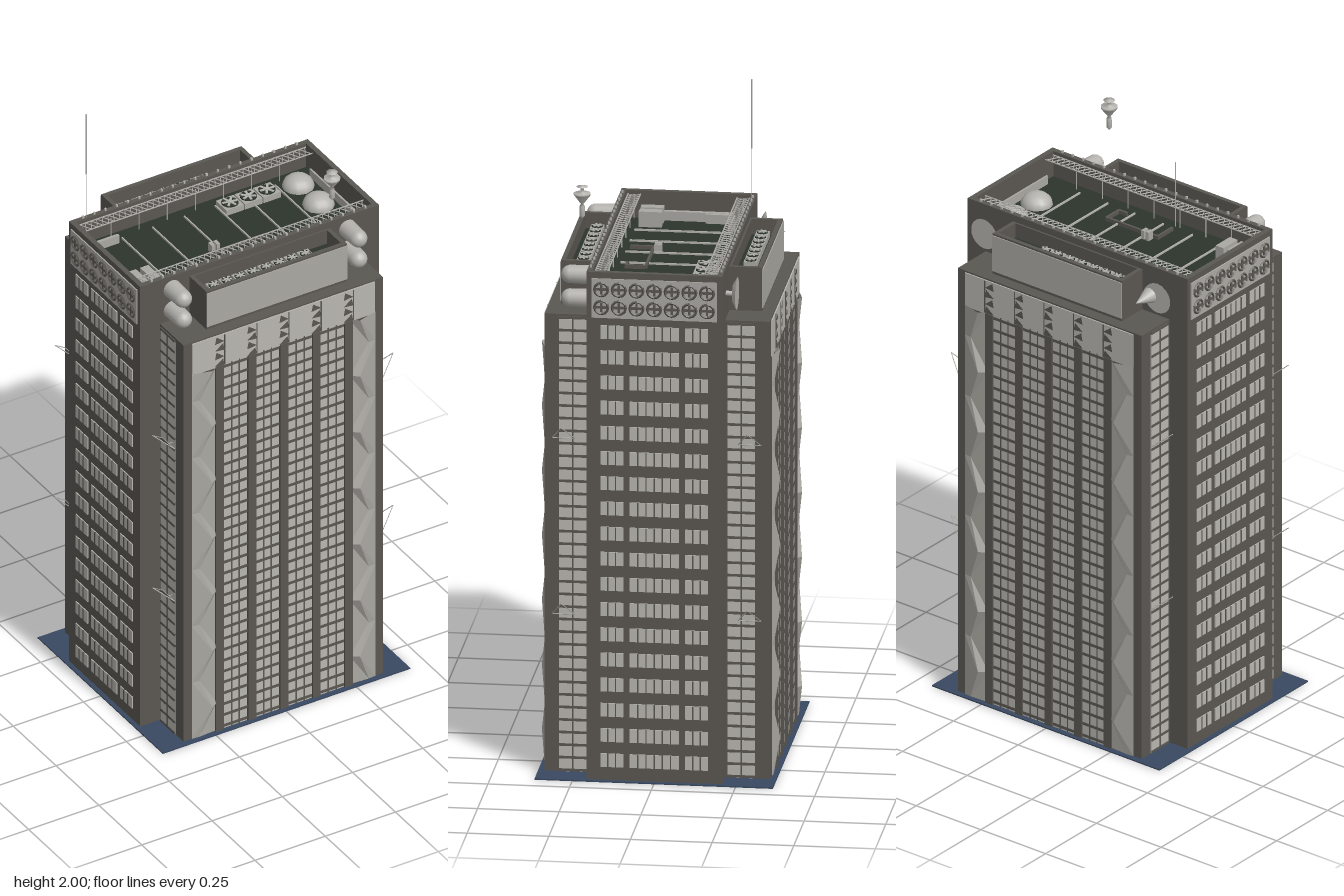
import * as THREE from 'three';
import { mergeGeometries } from 'three/addons/utils/BufferGeometryUtils.js';

const mat = (name, color, extra = {}) => Object.assign(
  new THREE.MeshStandardMaterial({ color, flatShading: true, side: THREE.DoubleSide, ...extra }), { name });

export function createModel() {
  const group = new THREE.Group();
  const wall = mat('dark concrete', 0x5a5752);
  const glass = mat('pale glass', 0xb8b6b0);
  const panel = mat('grey panel', 0xaaa8a2);
  const deck = mat('roof green', 0x2c342c);
  const ground = mat('ground blue', 0x384860);
  const metal = mat('pale metal', 0xb4b3ae, { flatShading: false });

  // Gather the pieces of each named part, merged into one mesh at the end
  const parts = new Map();
  function add(name, material, geo) {
    if (!parts.has(name)) parts.set(name, { material, list: [] });
    parts.get(name).list.push(geo.index ? geo.toNonIndexed() : geo);
  }
  const box = (name, m, w, h, d, x, y, z) =>
    add(name, m, new THREE.BoxGeometry(w, h, d).translate(x, y, z));
  const span = (name, m, x0, x1, y0, y1, z0, z1) =>
    box(name, m, Math.abs(x1 - x0), y1 - y0, Math.abs(z1 - z0), (x0 + x1) / 2, (y0 + y1) / 2, (z0 + z1) / 2);
  // Thin rod between two points
  function rod(name, m, a, b, r = 0.0015, sides = 4) {
    const p = new THREE.Vector3(...a), q = new THREE.Vector3(...b), v = q.clone().sub(p);
    const g = new THREE.CylinderGeometry(r, r, v.length(), sides);
    g.applyQuaternion(new THREE.Quaternion().setFromUnitVectors(new THREE.Vector3(0, 1, 0), v.normalize()));
    p.add(q).multiplyScalar(0.5);
    add(name, m, g.translate(p.x, p.y, p.z));
  }
  // Square roof fan with a ring, blades and hub
  function fan(x, y, z, s) {
    box('fanHousing', panel, s, 0.02, s, x, y, z);
    add('fanWell', deck, new THREE.CylinderGeometry(s * 0.43, s * 0.43, 0.004, 14).translate(x, y + 0.011, z));
    add('fanBlades', metal, new THREE.CylinderGeometry(s * 0.12, s * 0.12, 0.006, 8).translate(x, y + 0.014, z));
    for (let k = 0; k < 3; k++) {
      const b = new THREE.BoxGeometry(s * 0.78, 0.003, s * 0.12).rotateY(k * Math.PI / 3 + x * 9);
      add('fanBlades', metal, b.translate(x, y + 0.014, z));
    }
  }
  // Hollow parapet around a rectangle
  function parapet(name, x, z0, z1, y0, y1, t) {
    span(name, wall, -x, x, y0, y1, z0, z0 + t);
    span(name, wall, -x, x, y0, y1, z1 - t, z1);
    for (const s of [-1, 1]) span(name, wall, s * x, s * (x - t), y0, y1, z0 + t, z1 - t);
  }

  // Ground and main masses
  span('groundPlate', ground, -0.44, 0.44, 0, 0.004, -0.365, 0.365);
  span('crossBlock', wall, -0.355, 0.355, 0.004, 1.46, -0.345, 0.345);
  span('mainSlab', wall, -0.425, 0.425, 0.004, 1.53, -0.208, 0.208);
  parapet('mainParapet', 0.425, -0.208, 0.208, 1.53, 1.62, 0.017);
  span('mainDeck', deck, -0.408, 0.408, 1.53, 1.534, -0.19, 0.19);

  const columns = [-0.172, -0.058, 0.058, 0.172];
  const rows = 33, pitch = 0.04;
  for (const s of [-1, 1]) {
    // Long facade: glazed columns with mullions
    for (const x of columns) {
      box('facadeWindows', glass, 0.084, 1.34, 0.004, x, 0.675, s * 0.346);
      for (const k of [-1, 1]) box('facadeMullions', wall, 0.004, 1.34, 0.004, x + k * 0.014, 0.675, s * 0.348);
      for (let i = 0; i <= rows; i++)
        box('facadeMullions', wall, 0.084, 0.009, 0.004, x, 0.015 + i * pitch, s * 0.348);
    }
    // Piers between the columns, and the pale upper band
    span('upperBand', glass, -0.325, 0.325, 1.34, 1.455, s * 0.344, s * 0.349);
    for (let i = 0; i < 5; i++) {
      const x = (i - 2) * 0.1145;
      box('piers', wall, 0.028, 1.34, 0.012, x, 0.674, s * 0.347);
      for (let j = 0; j < 4; j++) {
        const tri = new THREE.Shape();
        const f = j % 2 ? 1 : -1;
        tri.moveTo(-0.017 * f, 0); tri.lineTo(0.017 * f, 0.004); tri.lineTo(-0.012 * f, 0.026); tri.closePath();
        add('louvres', wall, new THREE.ShapeGeometry(tri).translate(x, 1.342 + j * 0.028, s * 0.351));
      }
      box('louvres', wall, 0.003, 0.11, 0.004, x + 0.018, 1.398, s * 0.349);
    }
    // Folded panels near the corners
    for (const k of [-1, 1]) {
      const n = 13, pos = [], idx = [];
      for (let i = 0; i <= n; i++) {
        const y = 0.005 + i * 1.34 / n, up = i % 2;
        [[0.236, 0], [up ? 0.262 : 0.302, up ? 0.019 : 0.004], [0.326, 0.002]].forEach(([x, d]) =>
          pos.push(k * x, y, s * (0.346 + d)));
        if (i < n) for (let c = 0; c < 2; c++) {
          const a = i * 3 + c, b = a + 1, e = a + 3, f = a + 4;
          const face = up ? [a, b, f, a, f, e] : [a, b, e, b, f, e];
          if (s * k < 0) face.reverse();
          idx.push(...face);
        }
      }
      const g = new THREE.BufferGeometry();
      g.setAttribute('position', new THREE.Float32BufferAttribute(pos, 3));
      g.setIndex(idx);
      const flat = g.toNonIndexed();
      flat.computeVertexNormals();
      flat.setAttribute('uv', new THREE.Float32BufferAttribute(new Float32Array(flat.attributes.position.count * 2), 2));
      add('foldedPanels', panel, flat);

      // Narrow glazed strips on the short sides of the cross block
      box('sideStrips', glass, 0.004, 1.44, 0.084, k * 0.356, 0.725, s * 0.258);
      box('sideStripBars', wall, 0.004, 1.44, 0.005, k * 0.358, 0.725, s * 0.258);
      for (let i = 0; i <= 36; i++)
        box('sideStripBars', wall, 0.004, 0.008, 0.084, k * 0.358, 0.01 + i * pitch, s * 0.258);

      // Triangular side aerials
      for (const y of [0.53, 1.09]) {
        const a = [k * 0.37, y - 0.02, s * 0.25], b = [k * 0.37, y - 0.02, s * 0.32], c = [k * 0.428, y + 0.03, s * 0.285];
        rod('sideAerials', metal, a, b);
        rod('sideAerials', metal, b, c);
        rod('sideAerials', metal, c, a);
        rod('sideAerials', metal, [k * 0.354, y - 0.02, s * 0.285], [k * 0.372, y - 0.02, s * 0.285]);
      }
    }
    // Penthouse shoulder with panelled wall, sunken deck and fans
    span('shoulder', wall, -0.25, 0.25, 1.46, 1.545, s * 0.2, s * 0.308);
    parapet('shoulderParapet', 0.25, s > 0 ? 0.2 : -0.308, s > 0 ? 0.308 : -0.2, 1.545, 1.598, 0.014);
    span('shoulderDeck', deck, -0.235, 0.235, 1.545, 1.549, s * 0.21, s * 0.294);
    span('shoulderPanel', panel, -0.25, 0.25, 1.47, 1.592, s * 0.307, s * 0.311);
    const count = s > 0 ? 8 : 7;
    for (let i = 0; i < count; i++) fan(-0.19 + i * 0.0465, 1.56, s * 0.253, 0.04);
    // Lattice walkway along the roof edge
    for (const z of [0.148, 0.186]) rod('roofTruss', metal, [-0.405, 1.61, s * z], [0.405, 1.61, s * z], 0.0025);
    for (let i = 0; i < 40; i++) {
      const x = -0.4 + i * 0.02;
      rod('roofTruss', metal, [x, 1.61, s * 0.148], [x + 0.02, 1.61, s * 0.186], 0.0018);
      rod('roofTruss', metal, [x, 1.61, s * 0.186], [x + 0.02, 1.61, s * 0.148], 0.0018);
      if (i % 2) box('railStuds', metal, 0.006, 0.008, 0.006, x, 1.624, s * 0.2);
      if (i % 5 === 0) rod('roofTruss', metal, [x, 1.53, s * 0.167], [x, 1.61, s * 0.167], 0.002);
    }
    // Short end of the slab: window bands and a vent wall
    for (let i = 0; i < 18; i++) {
      const y = 0.067 + i * 0.0802;
      for (const [z, w, n] of [[0.13, 0.07, 3], [0, 0.15, 6], [-0.13, 0.07, 3]]) {
        box('endWindows', glass, 0.004, 0.043, w, s * 0.426, y, z);
        for (let j = 1; j < n; j++)
          box('endMullions', wall, 0.004, 0.043, 0.004, s * 0.428, y, z - w / 2 + j * w / n);
      }
    }
    box('ventWall', panel, 0.006, 0.125, 0.385, s * 0.426, 1.538, 0);
    for (let i = 0; i < 7; i++) for (const y of [1.51, 1.567]) {
      const z = (i - 3) * 0.054;
      add('ventRings', wall, new THREE.TorusGeometry(0.021, 0.004, 4, 12).rotateY(Math.PI / 2).translate(s * 0.431, y, z));
      box('ventBlades', wall, 0.004, 0.008, 0.036, s * 0.43, y, z);
      box('ventBlades', wall, 0.004, 0.03, 0.007, s * 0.43, y, z);
    }
    // Drum aerials at the front, dishes and a horn at the back
    for (const y of [1.5, 1.575]) {
      const x = s * 0.312;
      add('drumAerials', metal, new THREE.CylinderGeometry(0.028, 0.03, 0.065, 16).rotateX(Math.PI / 2).translate(x, y, 0.24));
      add('drumAerials', metal, new THREE.SphereGeometry(0.028, 16, 10).translate(x, y, 0.272));
    }
    add('backDishes', metal, new THREE.CylinderGeometry(0.05, 0.03, 0.012, 18).rotateX(-Math.PI / 2).translate(s * 0.335, 1.54, -0.236));
    rod('dishMounts', metal, [s * 0.335, 1.54, -0.2], [s * 0.335, 1.54, -0.234], 0.008, 8);
  }
  add('hornAerial', metal, new THREE.ConeGeometry(0.028, 0.075, 16).rotateX(-Math.PI / 2).translate(-0.305, 1.54, -0.272));

  // Roof equipment
  for (const x of [-0.272, -0.163, -0.05, 0.06, 0.165, 0.273])
    box('roofPipes', metal, 0.004, 0.006, 0.3, x, 1.538, 0);
  for (const x of [0.094, 0.16, 0.226]) fan(x, 1.545, -0.12, 0.062);
  for (const z of [-0.108, 0.01]) {
    const g = new THREE.SphereGeometry(0.05, 12, 6, 0, Math.PI * 2, 0, Math.PI / 2).scale(1, 0.8, 1);
    add('roofDomes', metal, g.translate(0.33, 1.54, z));
  }
  for (const x of [-0.372, -0.328]) box('roofCabinets', panel, 0.03, 0.05, 0.07, x, 1.558, 0.107);
  box('roofDucts', panel, 0.016, 0.03, 0.28, -0.395, 1.548, 0);
  box('roofDucts', panel, 0.014, 0.03, 0.09, -0.378, 1.548, -0.1);
  box('roofDucts', panel, 0.08, 0.03, 0.01, -0.33, 1.548, -0.14);
  box('roofDucts', panel, 0.006, 0.03, 0.28, 0.392, 1.548, 0);
  for (const x of [-0.074, -0.057]) box('roofDucts', panel, 0.012, 0.03, 0.022, x, 1.548, 0.05);
  box('stairCurb', wall, 0.205, 0.012, 0.008, 0.005, 1.54, 0.067);
  box('stairCurb', wall, 0.008, 0.012, 0.075, -0.093, 1.54, 0.102);
  box('stairCurb', wall, 0.008, 0.012, 0.06, 0.104, 1.54, 0.097);
  box('stairCurb', wall, 0.035, 0.012, 0.008, 0.09, 1.54, 0.127);

  // Whip mast and beacon
  rod('whipMast', metal, [-0.37, 1.78, -0.197], [-0.37, 2, -0.197], 0.0018, 6);
  rod('whipMast', metal, [-0.37, 1.6, -0.197], [-0.37, 1.78, -0.197], 0.0006, 3);
  const beacon = [[0.002, 1.73], [0.009, 1.738], [0.008, 1.768], [0.004, 1.775], [0.026, 1.804], [0.026, 1.81],
    [0.006, 1.812], [0.006, 1.826], [0.018, 1.83], [0, 1.834]].map(p => new THREE.Vector2(...p));
  add('beacon', metal, new THREE.LatheGeometry(beacon, 10).translate(0.235, 0, 0.245));

  for (const [name, { material, list }] of parts) {
    const mesh = new THREE.Mesh(mergeGeometries(list), material);
    mesh.name = name;
    group.add(mesh);
  }
  return group;
}
